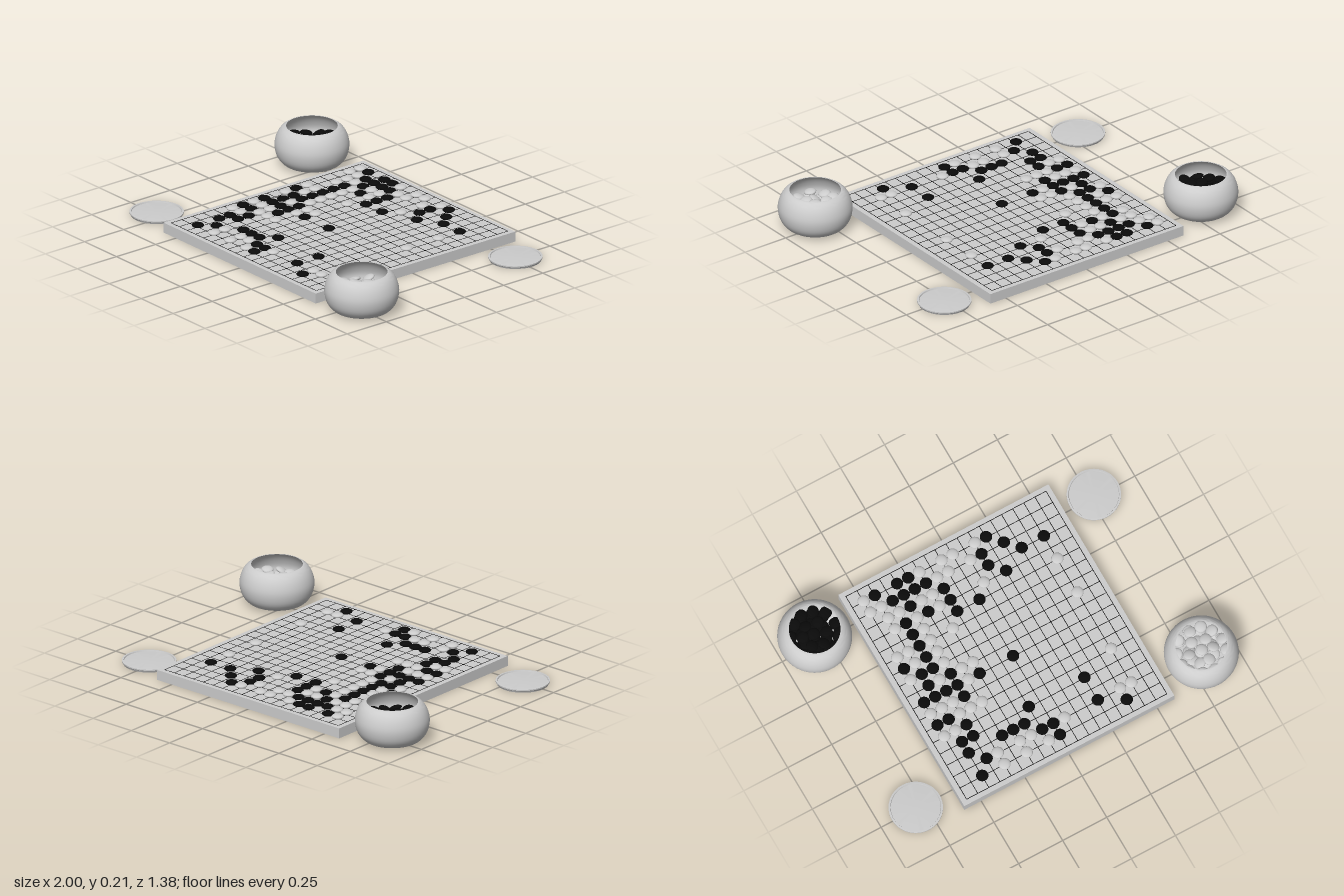
import * as THREE from 'three';
import { toCreasedNormals } from 'three/addons/utils/BufferGeometryUtils.js';

const grey = new THREE.MeshStandardMaterial({ color: 0xcccccc });
grey.name = 'pale grey';
const black = new THREE.MeshStandardMaterial({ color: 0x0a0a0a });
black.name = 'black';

const BOARD_TOP = 0.053, BOARD_Z = -0.017;
const STEP_X = 0.0631, STEP_Z = 0.068;

// Stones row by row: B black, W white, . empty; first character is the left line
const ROWS = [
  '',
  '.WB.BBW.WW.WB',
  '.WWBBBBWW.WB.B',
  '..WWBWWB...B..B.B',
  '..WBWBWB..W.B',
  '...BW..B.B......W',
  '.WWBW.W',
  '.BWBW',
  '.WBBW...........W',
  '..BWBWW',
  '.BBBBWB..B',
  '.WWWB',
  '.BBWWW',
  '.WWB............W',
  '..BB....B....B',
  '..B..BBB',
  '...BW.WWBBW..B.WW',
  '..B.W.W.WB.....B',
];

const v = (x, y) => new THREE.Vector2(x, y);
const stoneGeometry = new THREE.SphereGeometry(0.031, 18, 10).scale(1, 0.39, 1);

function add(parent, name, geometry, material, x = 0, y = 0, z = 0) {
  const mesh = new THREE.Mesh(geometry, material);
  mesh.name = name;
  mesh.position.set(x, y, z);
  parent.add(mesh);
  return mesh;
}

function makeBoard() {
  const board = new THREE.Group();
  board.name = 'board';
  add(board, 'boardSlab', new THREE.BoxGeometry(1.192, BOARD_TOP, 1.276), grey, 0, BOARD_TOP / 2, BOARD_Z);
  // Nineteen thin painted lines each way
  const across = new THREE.BoxGeometry(STEP_X * 18, 0.001, 0.003);
  const along = new THREE.BoxGeometry(0.003, 0.001, STEP_Z * 18);
  for (let i = -9; i <= 9; i++) {
    add(board, 'gridLineAcross', across, black, 0, BOARD_TOP + 0.0004, BOARD_Z + i * STEP_Z);
    add(board, 'gridLineAlong', along, black, i * STEP_X, BOARD_TOP + 0.0004, BOARD_Z);
  }
  return board;
}

function makeStones() {
  const stones = new THREE.Group();
  stones.name = 'playedStones';
  ROWS.forEach((row, r) => [...row].forEach((c, i) => {
    if (c === '.') return;
    const isBlack = c === 'B';
    add(stones, isBlack ? 'blackStone' : 'whiteStone', stoneGeometry, isBlack ? black : grey,
      (i - 9) * STEP_X, BOARD_TOP + 0.012, BOARD_Z + (r - 9) * STEP_Z);
  }));
  return stones;
}

// Squat round bowl: outer wall, rim, then the hollow inside
function bowlGeometry() {
  const outer = new THREE.SplineCurve([
    v(0.105, 0.003), v(0.143, 0.018), v(0.174, 0.056), v(0.186, 0.11),
    v(0.177, 0.158), v(0.157, 0.193), v(0.134, 0.21),
  ]).getPoints(22);
  const inner = new THREE.SplineCurve([
    v(0.128, 0.21), v(0.15, 0.188), v(0.17, 0.15), v(0.176, 0.11), v(0.15, 0.05), v(0.1, 0.02),
  ]).getPoints(14);
  return toCreasedNormals(new THREE.LatheGeometry([v(0, 0.003), ...outer, ...inner, v(0, 0.02)], 48), 0.6);
}

// Shallow lid with a raised rim and recessed underside
function lidGeometry() {
  return toCreasedNormals(new THREE.LatheGeometry([
    v(0, 0.005), v(0.117, 0.005), v(0.119, 0), v(0.129, 0), v(0.131, 0.007),
    v(0.135, 0.011), v(0.135, 0.017), v(0.126, 0.018), v(0.124, 0.012), v(0, 0.012),
  ], 48), 0.6);
}

function makeBowl(name, geometry, material, x, z, seed, layers) {
  const random = () => (seed = (seed * 16807) % 2147483647) / 2147483647;
  const bowl = new THREE.Group();
  bowl.name = name;
  bowl.position.set(x, 0, z);
  add(bowl, 'bowlWall', geometry, grey);
  // Heaped stones in loose rings, each layer turned and jittered
  for (let layer = 0; layer < layers; layer++) {
    [[0, 1], [0.062, 6], [0.122, 12]].forEach(([radius, count], ring) => {
      for (let i = 0; i < count; i++) {
        const a = (i / count) * Math.PI * 2 + layer * 0.5 + ring * 0.2 + random() * 0.12;
        const stone = add(bowl, 'spareStone', stoneGeometry, material,
          Math.cos(a) * radius + (random() - 0.5) * 0.012,
          0.13 - layer * 0.02 + (random() - 0.5) * 0.014,
          Math.sin(a) * radius + (random() - 0.5) * 0.012);
        stone.rotation.set((random() - 0.5) * 0.7, 0, (random() - 0.5) * 0.7);
      }
    });
  }
  return bowl;
}

export function createModel() {
  const model = new THREE.Group();
  model.name = 'boardGameSet';
  const bowl = bowlGeometry(), lid = lidGeometry();
  model.add(
    makeBoard(),
    makeStones(),
    makeBowl('blackStoneBowl', bowl, black, -0.814, -0.505, 11, 4),
    makeBowl('whiteStoneBowl', bowl, grey, 0.814, 0.505, 29, 2),
  );
  add(model, 'backLid', lid, grey, 0.773, 0, -0.51);
  add(model, 'frontLid', lid, grey, -0.802, 0, 0.497);
  return model;
}
